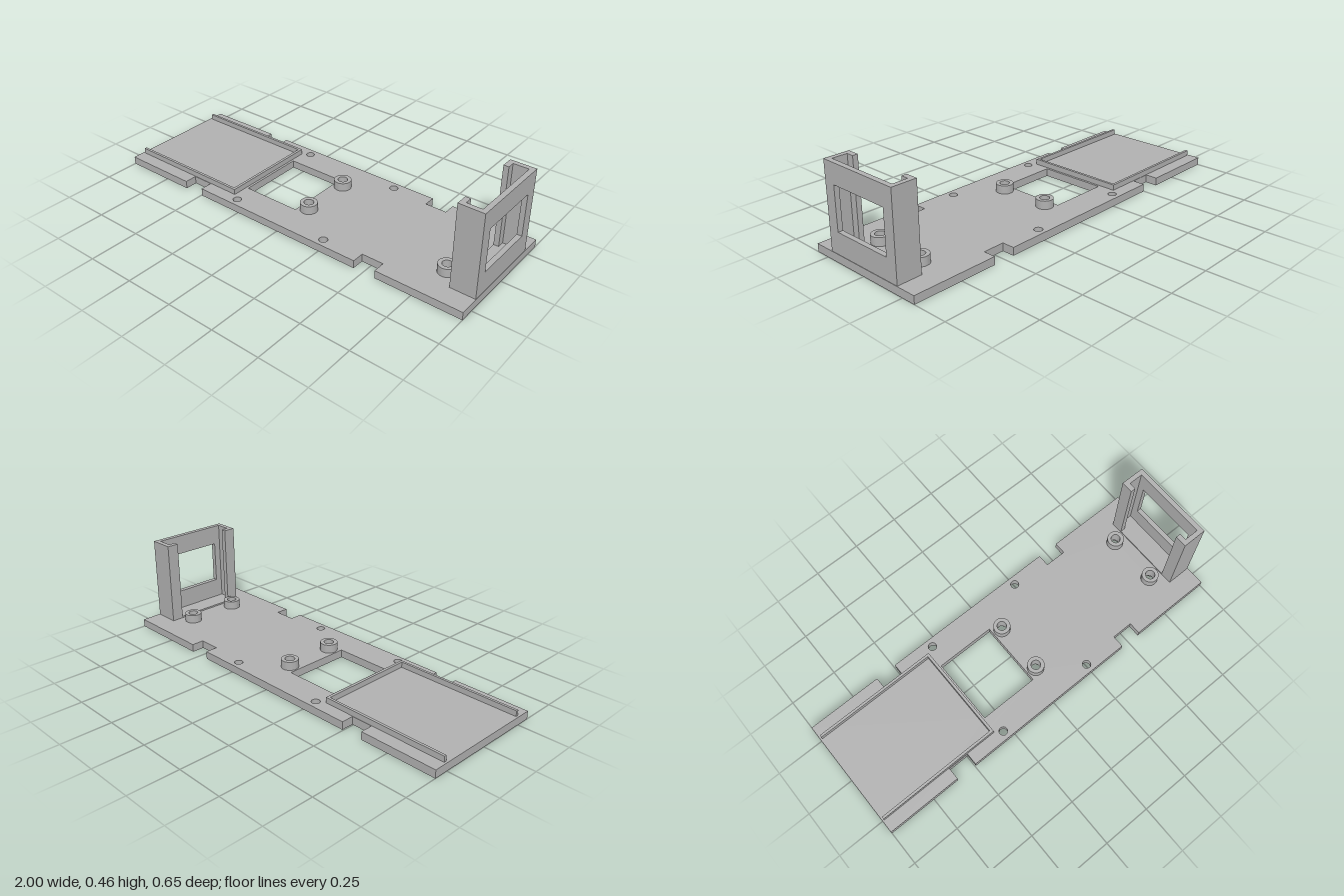
import * as THREE from 'three';
import { toCreasedNormals } from 'three/addons/utils/BufferGeometryUtils.js';

const T = 0.04; // plate thickness
const POSTS = [[0.04, 0.133], [0.04, -0.133], [0.807, 0.133], [0.807, -0.133]];
const PIN_HOLES = [[-0.29, 0.282], [-0.29, -0.282], [0.247, 0.282], [0.247, -0.282]];

const polygon = (points, Type = THREE.Shape) => new Type(points.map(([x, y]) => new THREE.Vector2(x, y)));

const rect = (x0, x1, y0, y1) => [[x0, y0], [x1, y0], [x1, y1], [x0, y1]];

function circle(x, y, r, Type = THREE.Path, sides = 32) {
  const pts = [];
  for (let i = 0; i < sides; i++) {
    const a = (i / sides) * Math.PI * 2;
    pts.push([x + r * Math.cos(a), y + r * Math.sin(a)]);
  }
  return polygon(pts, Type);
}

// Plan shape raised vertically from y0 to y1
function raise(shape, y0, y1) {
  let g = new THREE.ExtrudeGeometry(shape, { depth: y1 - y0, bevelEnabled: false });
  g.rotateX(-Math.PI / 2);
  g.translate(0, y0, 0);
  return toCreasedNormals(g, 0.5);
}

// Base outline with two notches on each long side
function plateShape(postRadius, postSides) {
  const edge = [[-1, -0.323], [-0.605, -0.323], [-0.605, -0.26], [-0.495, -0.26], [-0.495, -0.323],
    [0.45, -0.323], [0.45, -0.26], [0.562, -0.26], [0.562, -0.323], [1, -0.323]];
  const mirrored = edge.map(([x, y]) => [x, -y]).reverse();
  const shape = polygon([...edge, ...mirrored]);
  shape.holes.push(polygon(rect(-0.318, -0.01, -0.173, 0.173), THREE.Path));
  for (const [x, y] of PIN_HOLES) shape.holes.push(circle(x, y, 0.021));
  for (const [x, y] of POSTS) shape.holes.push(circle(x, y, postRadius, THREE.Path, postSides));
  return shape;
}

export function createModel() {
  const group = new THREE.Group();
  const grey = new THREE.MeshStandardMaterial({ color: 0xb0b0b0 });
  grey.name = 'grey plastic';
  const add = (name, geometry) => {
    const mesh = new THREE.Mesh(geometry, grey);
    mesh.name = name;
    group.add(mesh);
    return mesh;
  };

  // Base plate: hexagonal nut pockets below, round screw holes above
  add('basePlateLower', raise(plateShape(0.034, 6), 0, T / 2));
  add('basePlateUpper', raise(plateShape(0.024, 32), T / 2, T));

  // U-shaped rim around the tray
  add('trayRim', raise(polygon([[-0.99, -0.258], [-0.33, -0.258], [-0.33, 0.258], [-0.99, 0.258],
    [-0.99, 0.245], [-0.344, 0.245], [-0.344, -0.245], [-0.99, -0.245]]), T, 0.068));

  // Hollow screw posts
  for (const [x, y] of POSTS) {
    const ring = circle(x, y, 0.043, THREE.Shape);
    ring.holes.push(circle(x, y, 0.024));
    add('screwPost', raise(ring, T, 0.083));
  }

  // Upright holder: windowed end wall
  const wall = polygon(rect(-0.219, 0.219, T, 0.462));
  wall.holes.push(polygon(rect(-0.161, 0.161, 0.147, 0.362), THREE.Path));
  const wallGeometry = new THREE.ExtrudeGeometry(wall, { depth: 0.025, bevelEnabled: false });
  wallGeometry.rotateY(Math.PI / 2);
  wallGeometry.translate(0.973, 0, 0);
  add('holderWindowWall', wallGeometry);

  // Side walls with inward lips forming the slots
  for (const s of [-1, 1]) {
    const side = [[0.872, 0.219], [0.973, 0.219], [0.973, 0.195], [0.898, 0.195], [0.898, 0.158], [0.872, 0.158]];
    add(s > 0 ? 'holderBackSide' : 'holderFrontSide',
      raise(polygon(side.map(([x, y]) => [x, s * y])), T, 0.462));
  }

  // Low sill at the bottom of the holder
  add('holderFloor', raise(polygon(rect(0.872, 0.973, -0.195, 0.195)), T, T + 0.008));

  return group;
}
